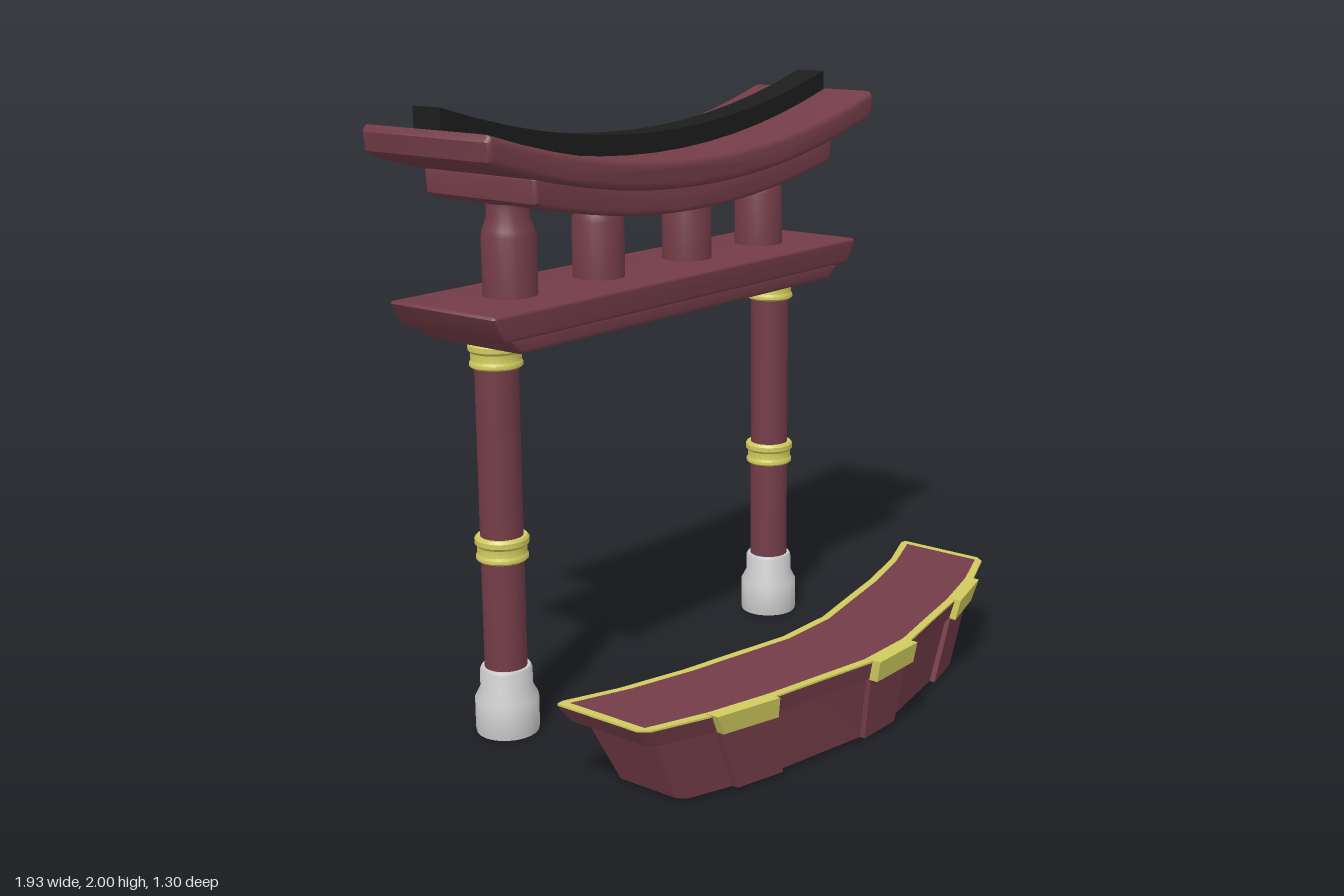
import * as THREE from 'three';
import { toCreasedNormals } from 'three/addons/utils/BufferGeometryUtils.js';

const mat = (color) => new THREE.MeshStandardMaterial({ color });
const V = (x, y) => new THREE.Vector2(x, y);
const GATE_Z = -0.385;

export function createModel() {
  const model = new THREE.Group();
  const red = mat(0x733c48), gold = mat(0xcfca5e), black = mat(0x1c1c1c), grey = mat(0xcccccc);

  const add = (parent, name, geometry, material, x = 0, y = 0, z = 0) => {
    const mesh = new THREE.Mesh(geometry, material);
    mesh.name = name;
    mesh.position.set(x, y, z);
    parent.add(mesh);
    return mesh;
  };
  const lathe = (pts) =>
    toCreasedNormals(new THREE.LatheGeometry(pts.map(([r, y]) => V(r, y)), 24), 0.6);

  // Front profile extruded along z, centred, with softened edges
  const slab = (pts, depth, bevel) => {
    const g = new THREE.ExtrudeGeometry(new THREE.Shape(pts), {
      depth: depth - 2 * bevel, bevelEnabled: bevel > 0, bevelSize: bevel,
      bevelThickness: bevel, bevelOffset: -bevel, bevelSegments: 3,
    });
    g.translate(0, 0, -depth / 2 + bevel);
    return toCreasedNormals(g, 0.6);
  };

  // Upswept band profile; ends are square or rounded off
  const sweptBand = (half, y0, y1, soft) => {
    const lift = (x) => 0.162 * x * x, n = 14, pts = [];
    const run = (w, y, dir) => {
      for (let i = 0; i <= n; i++) {
        const x = dir * w * (2 * i / n - 1);
        pts.push(V(x, y + lift(x)));
      }
    };
    run(half - soft * 1.5, y0, 1);
    if (soft) pts.push(V(half - soft * 0.3, y0 + lift(half) + soft * 0.4), V(half, y1 + lift(half) - soft));
    run(half - soft * 0.5, y1, -1);
    if (soft) pts.push(V(-half, y1 + lift(half) - soft), V(-half + soft * 0.3, y0 + lift(half) + soft * 0.4));
    return pts;
  };
  const plate = (bottom, top, y0, y1) => [
    V(-bottom + 0.012, y0), V(bottom - 0.012, y0), V(bottom, y0 + 0.008),
    V(top, y1 - 0.008), V(top - 0.006, y1), V(-top + 0.006, y1),
    V(-top, y1 - 0.008), V(-bottom, y0 + 0.008),
  ];

  // ---- Gate ----
  const gate = new THREE.Group();
  gate.name = 'gate';
  gate.position.z = GATE_Z;
  model.add(gate);

  const footProfile = [[0, 0], [0.1, 0], [0.102, 0.01], [0.102, 0.115], [0.084, 0.15], [0.083, 0.21], [0.078, 0.22], [0, 0.22]];
  const bandProfile = [[0.06, 0], [0.076, 0], [0.083, 0.006], [0.083, 0.016], [0.078, 0.024], [0.079, 0.048],
    [0.086, 0.056], [0.086, 0.072], [0.08, 0.08], [0.06, 0.08]];
  for (const x of [-0.7, 0.7]) {
    add(gate, 'columnFoot', lathe(footProfile), grey, x);
    add(gate, 'column', new THREE.CylinderGeometry(0.068, 0.068, 1.09, 24), red, x, 0.745);
    add(gate, 'middleBand', lathe(bandProfile), gold, x, 0.575);
    add(gate, 'topBand', lathe(bandProfile), gold, x, 1.194);
  }

  add(gate, 'lowerBeamBase', slab(plate(0.802, 0.838, 1.274, 1.325), 0.405, 0.012), red);
  add(gate, 'lowerBeam', slab(plate(0.882, 0.922, 1.322, 1.406), 0.445, 0.012), red);

  const postProfile = [[0.085, 0], [0.085, 0.19], [0.08, 0.21], [0.068, 0.245], [0.066, 0.29]];
  for (const x of [-0.63, -0.225, 0.225, 0.63]) add(gate, 'shortPost', lathe(postProfile), red, x, 1.4);

  add(gate, 'upperBeam', slab(sweptBand(0.752, 1.615, 1.71, 0.018), 0.466, 0.014), red);
  add(gate, 'roof', slab(sweptBand(0.966, 1.695, 1.787, 0.025), 0.53, 0.02), red);
  add(gate, 'roofRidge', slab(sweptBand(0.945, 1.78, 1.853, 0), 0.113, 0), black);

  // ---- Curved trough ----
  const trough = new THREE.Group();
  trough.name = 'trough';
  model.add(trough);

  // Backward bend of the trough along its half length
  const bend = [[0, 0], [0.12, 0], [0.33, 0.18], [0.55, 0.36], [0.79, 0.64], [1, 1]];
  const bendAt = (u) => {
    u = Math.min(Math.abs(u), 1);
    const i = Math.max(1, bend.findIndex(([b]) => b >= u));
    const [a, sa] = bend[i - 1], [b, sb] = bend[i];
    return sa + (sb - sa) * (u - a) / (b - a);
  };
  // Levels: height, half length, back z and front z at the middle, end sag
  const TOP = { y: 0.283, hw: 0.945, zb: 0.275, zf: 0.617, sag: 0.22 };
  const RIM = { y: 0.225, hw: 0.905, zb: 0.285, zf: 0.605, sag: 0.215 };
  const WALL = { y: 0.225, hw: 0.87, zb: 0.3, zf: 0.592, sag: 0.2 };
  const FLOOR = { y: 0.01, hw: 0.77, zb: 0.31, zf: 0.56, sag: 0.168 };
  const frontZ = (l, x) => l.zf - l.sag * bendAt(x / l.hw);

  // Outline as columns: [x, back z, front z], with clipped corners
  const half = [0.12, 0.33, 0.55, 0.79, 0.975, 1];
  const us = [...half.map((u) => -u).reverse(), ...half];
  const columns = (l, inset = 0) => us.map((u) => {
    const clip = Math.abs(u) === 1 ? 0.022 : 0;
    const x = u * (l.hw - inset), s = l.sag * bendAt(x / l.hw);
    return [x, l.zb - s + inset + (inset ? 0 : clip * 0.6), l.zf - s - inset - (inset ? 0 : clip)];
  });

  // Closed solid between stacked outlines of columns
  const loft = (levels) => {
    const pos = [], n = levels[0].cols.length;
    const rings = levels.map(({ y, cols }) => [
      ...cols.map(([x, b]) => [x, y, b]),
      ...[...cols].reverse().map(([x, , f]) => [x, y, f]),
    ]);
    const quad = (a, b, c, d) => pos.push(...a, ...b, ...c, ...a, ...c, ...d);
    for (let k = 0; k + 1 < rings.length; k++) {
      const A = rings[k], B = rings[k + 1];
      for (let i = 0; i < 2 * n; i++) {
        const j = (i + 1) % (2 * n);
        quad(A[i], B[i], B[j], A[j]);
      }
    }
    const lo = rings[0], hi = rings[rings.length - 1];
    for (let i = 0; i + 1 < n; i++) {
      const f = 2 * n - 1 - i;
      quad(hi[i], hi[f], hi[f - 1], hi[i + 1]);
      quad(lo[i], lo[i + 1], lo[f - 1], lo[f]);
    }
    const g = new THREE.BufferGeometry();
    g.setAttribute('position', new THREE.Float32BufferAttribute(pos, 3));
    g.computeVertexNormals();
    return g;
  };
  const level = (l) => ({ y: l.y, cols: columns(l) });
  add(trough, 'troughBody', loft([level(FLOOR), level(WALL)]), red);
  add(trough, 'troughCollar', loft([level(RIM), level(TOP)]), red);

  // Gold edging around the top, with the inner panel just below it
  const loop = (cols) => [
    ...cols.map(([x, b]) => V(x, -b)), ...[...cols].reverse().map(([x, , f]) => V(x, -f)),
  ];
  const edging = new THREE.Shape(loop(columns(TOP)));
  edging.holes.push(new THREE.Path(loop(columns(TOP, 0.027))));
  const edgingGeo = new THREE.ExtrudeGeometry(edging, { depth: 0.006, bevelEnabled: false });
  edgingGeo.rotateX(-Math.PI / 2);
  add(trough, 'troughEdging', edgingGeo, gold, 0, TOP.y);
  add(trough, 'troughPanel', loft([
    { y: 0.27, cols: columns(TOP, 0.026) }, { y: 0.286, cols: columns(TOP, 0.026) },
  ]), red);

  // Ribs and gold clasps along the front: x ranges at clasp, rib top and rib bottom
  const strip = (l, y, [x0, x1], inward, out) => ({
    y, cols: [x0, x1].map((x) => [x, frontZ(l, x) - inward, frontZ(l, x) + out]),
  });
  const sets = [
    { clasp: [-0.107, 0.107], low: [-0.104, 0.104], rib: [-0.102, 0.102], foot: [-0.085, 0.085], out: 0.03 },
    { clasp: [0.515, 0.738], low: [0.505, 0.7], rib: [0.505, 0.7], foot: [0.435, 0.605], out: 0.024 },
  ];
  const flip = ([a, b]) => [-b, -a];
  const { clasp, low, rib, foot, out } = sets[1];
  sets.push({ clasp: flip(clasp), low: flip(low), rib: flip(rib), foot: flip(foot), out });
  for (const s of sets) {
    add(trough, 'frontRib', loft([strip(FLOOR, 0.01, s.foot, 0.03, 0.02), strip(WALL, 0.226, s.rib, 0.03, 0.018)]), red);
    add(trough, 'frontClasp', loft([strip(RIM, 0.222, s.low, 0.02, s.out), strip(TOP, 0.291, s.clasp, 0.02, s.out)]), gold);
  }
  return model;
}
